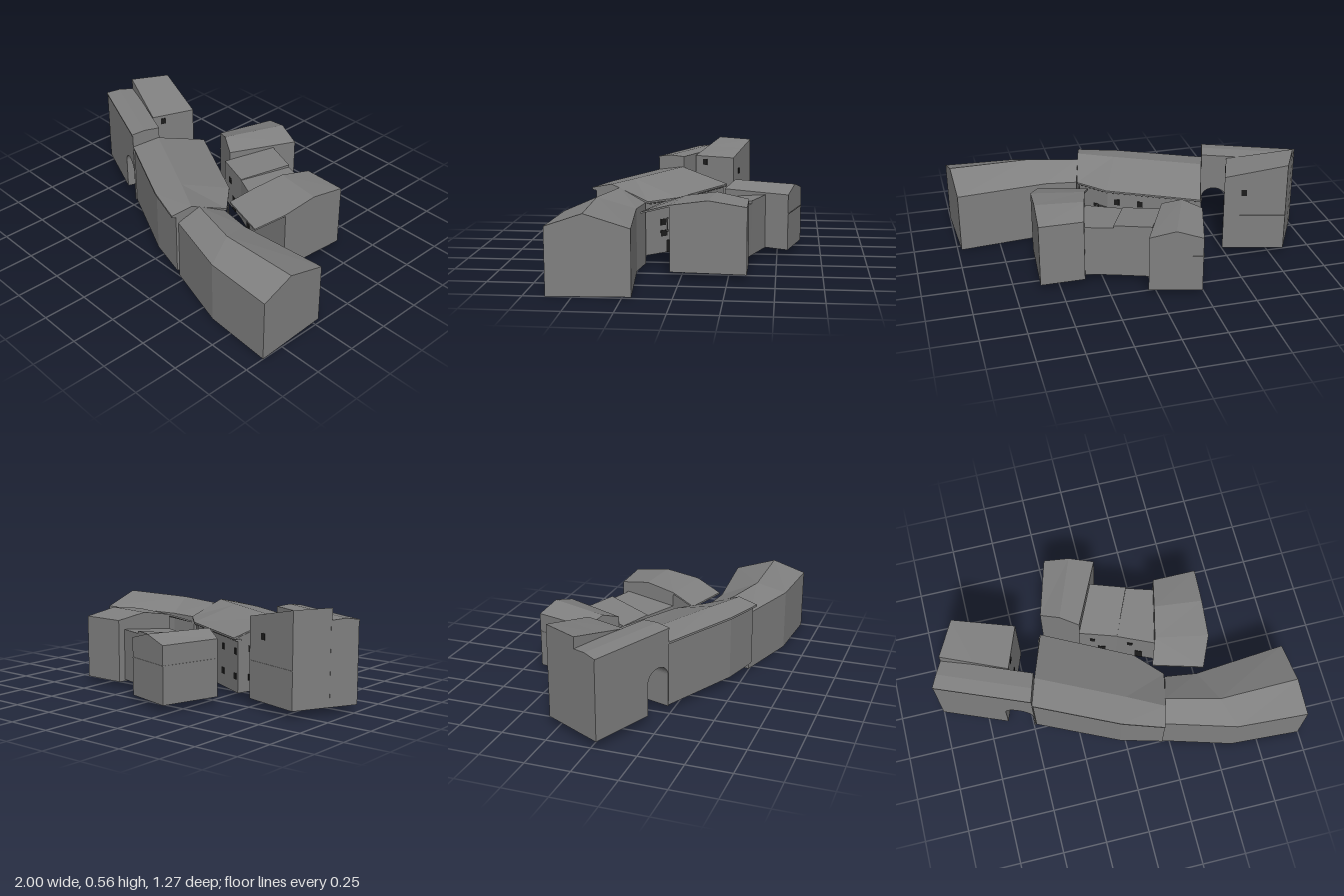
import * as THREE from 'three';

const grey = new THREE.MeshStandardMaterial({ color: 0x808080, side: THREE.DoubleSide });
const dark = new THREE.MeshStandardMaterial({ color: 0x1c1c1c });

function add(parent, name, geometry, material = grey) {
  const mesh = new THREE.Mesh(geometry, material);
  mesh.name = name;
  parent.add(mesh);
  return mesh;
}

// Closed solid through equal-length convex loops of [x, y, z], turned outward by signed volume
function loft(loops) {
  const tris = [];
  const n = loops[0].length;
  for (let s = 0; s < loops.length - 1; s++) {
    for (let i = 0; i < n; i++) {
      const j = (i + 1) % n;
      const a = loops[s][i], b = loops[s][j], c = loops[s + 1][j], d = loops[s + 1][i];
      tris.push([a, b, c], [a, c, d]);
    }
  }
  const last = loops[loops.length - 1];
  for (let i = 1; i < n - 1; i++) {
    tris.push([loops[0][0], loops[0][i + 1], loops[0][i]], [last[0], last[i], last[i + 1]]);
  }
  let volume = 0;
  const v = (p) => new THREE.Vector3(...p);
  for (const [a, b, c] of tris) volume += v(a).dot(v(b).cross(v(c)));
  if (volume < 0) tris.forEach((t) => t.reverse());
  const geo = new THREE.BufferGeometry();
  geo.setAttribute('position', new THREE.Float32BufferAttribute(tris.flat(2), 3));
  geo.computeVertexNormals();
  return geo;
}

// House between a front and a back wall line, with base heights and eave, ridge, eave heights
function house(front, back, [bf, bb], [hf, hr, hb], t = 0.5) {
  return loft(front.map(([fx, fz], i) => {
    const [bx, bz] = back[i];
    return [
      [fx, bf, fz], [fx, hf, fz],
      [fx + (bx - fx) * t, hr, fz + (bz - fz) * t],
      [bx, hb, bz], [bx, bb, bz],
    ];
  }));
}

// Box centred on the wall line p-q at fraction t
function onWall(parent, name, p, q, t, y, w, h, depth = 0.005, material = grey) {
  const m = add(parent, name, new THREE.BoxGeometry(w, h, depth), material);
  m.position.set(p[0] + (q[0] - p[0]) * t, y, p[1] + (q[1] - p[1]) * t);
  m.rotation.y = -Math.atan2(q[1] - p[1], q[0] - p[0]);
}

function addWindow(parent, p, q, t, y, w = 0.03, h = 0.036) {
  onWall(parent, 'window', p, q, t, y, w, h, 0.005, dark);
}

// Thin string course along a whole wall
function addBelt(parent, p, q, y) {
  onWall(parent, 'stringCourse', p, q, 0.5, y, Math.hypot(q[0] - p[0], q[1] - p[1]), 0.005);
}

// Long gatehouse with an arched passage at its right end, narrowing a little to the back
function gatehouse() {
  const g = new THREE.Group();
  g.name = 'gatehouse';
  const len = 0.552, depth = 0.165, base = 0.04, eave = 0.49;
  const a = 0.388, b = 0.545, spring = 0.225;
  const narrow = (geo) => {
    const pos = geo.attributes.position;
    for (let i = 0; i < pos.count; i++) {
      const x = pos.getX(i);
      pos.setX(i, x - (pos.getZ(i) / depth) * 0.015 * (1 - (2 * x) / len));
    }
    geo.computeVertexNormals();
    return geo;
  };
  const s = new THREE.Shape();
  s.moveTo(0, base);
  s.lineTo(a, base);
  s.lineTo(a, spring);
  s.absellipse((a + b) / 2, spring, (b - a) / 2, 0.065, Math.PI, 0, true);
  s.lineTo(b, base);
  s.lineTo(len, base);
  s.lineTo(len, eave);
  s.lineTo(0, eave);
  const walls = new THREE.ExtrudeGeometry(s, { depth, bevelEnabled: false, curveSegments: 12 });
  add(g, 'gatehouseWalls', narrow(walls.translate(0, 0, -depth)));
  add(g, 'gatehouseRoof', narrow(loft([0, len].map((x) => [
    [x, eave - 0.005, 0.004], [x, eave + 0.004, 0.004], [x, 0.506, -0.075],
    [x, 0.5, -depth], [x, eave - 0.005, -depth],
  ]))));
  g.position.set(-1, 0, 0.03);
  g.rotation.y = -0.391;
  return g;
}

export function createModel() {
  const model = new THREE.Group();
  model.name = 'courtyardHouses';

  // Bent row house at the left end of the street
  add(model, 'endHouse', house(
    [[0.206, 0.497], [0.6, 0.612], [1, 0.635]],
    [[0.28, 0.225], [0.46, 0.25], [0.978, 0.205]], [0, 0], [0.355, 0.42, 0.345], 0.45));

  // Long middle house: walls set back under an overhanging roof
  const mid = new THREE.Group();
  mid.name = 'middleHouse';
  model.add(mid);
  const wallFront = [[-0.485, 0.235], [-0.03, 0.448], [0.206, 0.512]];
  const wallBack = [[-0.361, -0.168], [0.127, 0.081], [0.262, 0.228]];
  add(mid, 'middleHouseWalls', house(wallFront, wallBack, [0.04, 0.04], [0.405, 0.43, 0.35], 0.35));
  add(mid, 'middleHouseRoof', house(
    [[-0.49, 0.24], [-0.03, 0.458], [0.2, 0.535]],
    [[-0.35, -0.19], [0.14, 0.06], [0.28, 0.21]], [0.4, 0.34], [0.412, 0.437, 0.35], 0.35));
  // Courtyard windows, door and rafter ends
  const [p, q, r] = wallBack;
  for (const t of [0.06, 0.35, 0.65, 0.9]) {
    addWindow(mid, p, q, t, 0.27);
    addWindow(mid, p, q, t, 0.13);
  }
  addWindow(mid, p, wallFront[0], 0.2, 0.28);
  addWindow(mid, p, wallFront[0], 0.2, 0.12);
  addWindow(mid, q, r, 0.4, 0.217, 0.035, 0.036);
  addWindow(mid, q, r, 0.37, 0.153, 0.045, 0.035);
  onWall(mid, 'door', q, r, 0.2, 0.075, 0.035, 0.07, 0.005, dark);
  for (let i = 0; i <= 16; i++) onWall(mid, 'rafterEnd', p, q, i / 16, 0.336, 0.007, 0.01, 0.036);
  for (let i = 1; i <= 6; i++) onWall(mid, 'rafterEnd', q, r, i / 7, 0.336, 0.007, 0.01, 0.036);
  // Railed landing on the courtyard wall
  const rail = [[0.14, 0.066], [0.185, 0.115]];
  onWall(mid, 'landing', ...rail, 0.5, 0.167, 0.066, 0.006, 0.03);
  onWall(mid, 'landingRail', ...rail, 0.5, 0.24, 0.066, 0.005);
  for (const t of [0, 0.5, 1]) onWall(mid, 'railPost', ...rail, t, 0.205, 0.005, 0.07);

  // Gatehouse and the taller house with a shed roof behind it
  model.add(gatehouse());
  const tall = new THREE.Group();
  tall.name = 'tallHouse';
  model.add(tall);
  const t0 = [-0.57, 0.02], t1 = [-0.48, -0.22], t2 = [-0.82, -0.31], t3 = [-0.926, -0.11];
  add(tall, 'tallHouseBody', house([t0, t1], [t3, t2], [0.04, 0.04], [0.49, 0.5275, 0.565]));
  addWindow(tall, t0, t1, 0.25, 0.453);
  addWindow(tall, t0, t1, 0.3, 0.24);
  addWindow(tall, t0, t1, 0.3, 0.12);
  addWindow(tall, t1, t2, 0.32, 0.395);
  addBelt(tall, t1, t2, 0.25);

  // Gabled house at the back corner
  const back = new THREE.Group();
  back.name = 'backHouse';
  model.add(back);
  const e0 = [-0.325, -0.302], e1 = [-0.228, -0.635], e2 = [0.055, -0.56], e3 = [-0.12, -0.19];
  add(back, 'backHouseBody', house([e0, e1], [e3, e2], [0.04, 0.04], [0.36, 0.4, 0.36]));
  addBelt(back, e0, e1, 0.25);
  addBelt(back, e1, e2, 0.25);

  // Two stepped lean-to houses joining the back and side houses
  const lean = new THREE.Group();
  lean.name = 'leanToHouses';
  model.add(lean);
  const fronts = [[-0.13, -0.16], [0.08, -0.09], [0.28, 0]];
  const backs = [[0, -0.43], [0.2, -0.36], [0.36, -0.31]];
  [['leanToUpper', [0.31, 0.33, 0.35]], ['leanToLower', [0.305, 0.32, 0.335]]].forEach(([name, h], i) => {
    add(lean, name, house(fronts.slice(i, i + 2), backs.slice(i, i + 2), [0.04, 0.04], h));
    addWindow(lean, fronts[i], fronts[i + 1], 0.35, 0.22);
    onWall(lean, 'door', fronts[i], fronts[i + 1], 0.6, 0.085, 0.045, 0.09, 0.005, dark);
  });

  // Gabled side house with an open sloping canopy towards the courtyard
  add(model, 'sideHouse', house(
    [[0.28, 0], [0.58, 0.06]], [[0.36, -0.35], [0.61, -0.35]], [0.03, 0.03], [0.39, 0.42, 0.39]));
  const thick = 0.01;
  add(model, 'canopyRoof', loft([
    [[0.28, 0.39, 0], [0.23, 0.338, 0.14]],
    [[0.58, 0.39, 0.06], [0.51, 0.338, 0.22]],
  ].map(([u, d]) => [u, d, [d[0], d[1] - thick, d[2]], [u[0], u[1] - thick, u[2]]])));

  return model;
}
